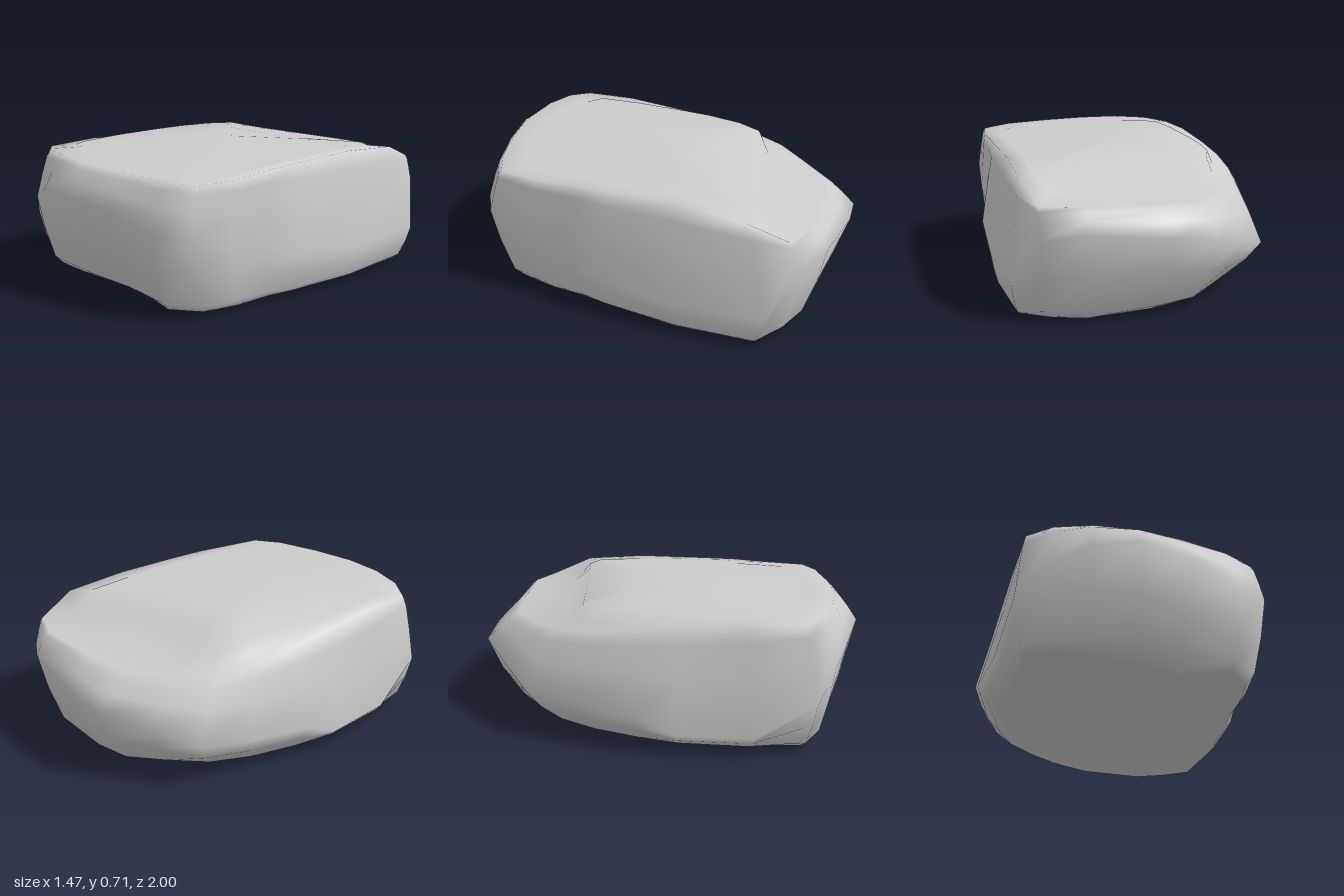
import * as THREE from 'three';

// Outlines run from the front centre round the +x side to the back and home; each point is x, z, y.
const belly = [
  [-0.11, 1.0, 0.55], [0.15, 0.95, 0.53], [0.43, 0.88, 0.45], [0.59, 0.79, 0.45], [0.62, 0.55, 0.35],
  [0.63, 0.33, 0.3], [0.69, 0.18, 0.25], [0.73, -0.25, 0.19], [0.73, -0.72, 0.19], [0.62, -0.85, 0.42],
  [0.43, -0.95, 0.46], [0.03, -1.0, 0.42], [-0.2, -0.99, 0.39], [-0.4, -0.83, 0.32], [-0.59, -0.67, 0.25],
  [-0.66, -0.4, 0.22], [-0.73, -0.1, 0.2], [-0.74, 0.12, 0.11], [-0.71, 0.5, 0.1], [-0.67, 0.8, 0.28],
  [-0.55, 0.88, 0.42], [-0.35, 0.95, 0.52],
];
const rim = [
  [-0.1, 0.88, 0.69], [0.15, 0.85, 0.69], [0.4, 0.79, 0.69], [0.56, 0.72, 0.68], [0.6, 0.5, 0.68],
  [0.61, 0.3, 0.69], [0.62, 0.1, 0.69], [0.63, -0.25, 0.69], [0.65, -0.59, 0.66], [0.61, -0.8, 0.57],
  [0.42, -0.87, 0.57], [0.05, -0.85, 0.55], [-0.17, -0.81, 0.54], [-0.34, -0.67, 0.54], [-0.48, -0.52, 0.55],
  [-0.56, -0.33, 0.57], [-0.6, -0.1, 0.6], [-0.61, 0.12, 0.63], [-0.62, 0.45, 0.66], [-0.62, 0.73, 0.66],
  [-0.5, 0.81, 0.68], [-0.32, 0.86, 0.69],
];
const foot = [
  [-0.1, 0.74, 0.03], [0.12, 0.7, 0.02], [0.4, 0.77, 0.04], [0.52, 0.65, 0.03], [0.56, 0.46, 0.02],
  [0.58, 0.28, 0.02], [0.62, 0.12, 0.02], [0.68, -0.25, 0.02], [0.67, -0.64, 0.01], [0.54, -0.74, 0.01],
  [0.38, -0.78, 0], [0.05, -0.76, 0], [-0.12, -0.71, 0.01], [-0.24, -0.58, 0.01], [-0.38, -0.43, 0.02],
  [-0.49, -0.28, 0.02], [-0.56, -0.08, 0.02], [-0.59, 0.12, 0.02], [-0.6, 0.45, 0.02], [-0.6, 0.72, 0.03],
  [-0.48, 0.78, 0.03], [-0.3, 0.77, 0.03],
];

const lerp = THREE.MathUtils.lerp;

// Ring between two outlines, with separate blends for plan and height so the wall can bulge
const between = (a, b, plan, height) => a.map((p, i) => [
  lerp(p[0], b[i][0], plan), lerp(p[1], b[i][1], plan), lerp(p[2], b[i][2], height),
]);
// Shrunken copy of an outline, levelled towards height y
const shrink = (ring, s, y) => ring.map((p) => [p[0] * s, p[1] * s, lerp(p[2], y, 0.77)]);

function stoneGeometry() {
  // The flat crown stops short of the back, leaving a lower ledge behind a slanted step
  const crown = shrink(rim, 0.82, 0.69).map(([x, z, y]) => [x, Math.max(z, -0.47 - 0.17 * x), y]);
  const rings = [
    shrink(foot, 0.55, 0.01), foot,
    between(foot, belly, 0.38, 0.12),
    between(foot, belly, 0.75, 0.55),
    belly,
    between(belly, rim, 0.4, 0.5),
    between(belly, rim, 0.72, 0.84),
    rim,
    between(rim, crown, 0.75, 0.25),
    crown, shrink(crown, 0.5, 0.7),
  ];
  const n = belly.length;
  const positions = [];
  const index = [];
  rings.forEach((ring) => ring.forEach(([x, z, y]) => positions.push(x, y, z)));

  // Walls and caps between neighbouring rings
  for (let r = 0; r < rings.length - 1; r++) {
    for (let i = 0; i < n; i++) {
      const a = r * n + i;
      const b = r * n + (i + 1) % n;
      index.push(a, b, b + n, a, b + n, a + n);
    }
  }

  // Centre points closing the underside and the crown
  const low = rings.length * n;
  const high = low + 1;
  const last = low - n;
  positions.push(0, 0, 0, -0.1, 0.71, 0.1);
  for (let i = 0; i < n; i++) {
    const j = (i + 1) % n;
    index.push(low, j, i, high, last + i, last + j);
  }

  const geometry = new THREE.BufferGeometry();
  geometry.setAttribute('position', new THREE.Float32BufferAttribute(positions, 3));
  geometry.setIndex(index);
  geometry.computeVertexNormals();
  return geometry;
}

export function createModel() {
  const group = new THREE.Group();
  group.name = 'rock';
  const stone = new THREE.Mesh(stoneGeometry(), new THREE.MeshStandardMaterial({ color: 0xcccccc }));
  stone.name = 'boulder';
  group.add(stone);
  return group;
}
